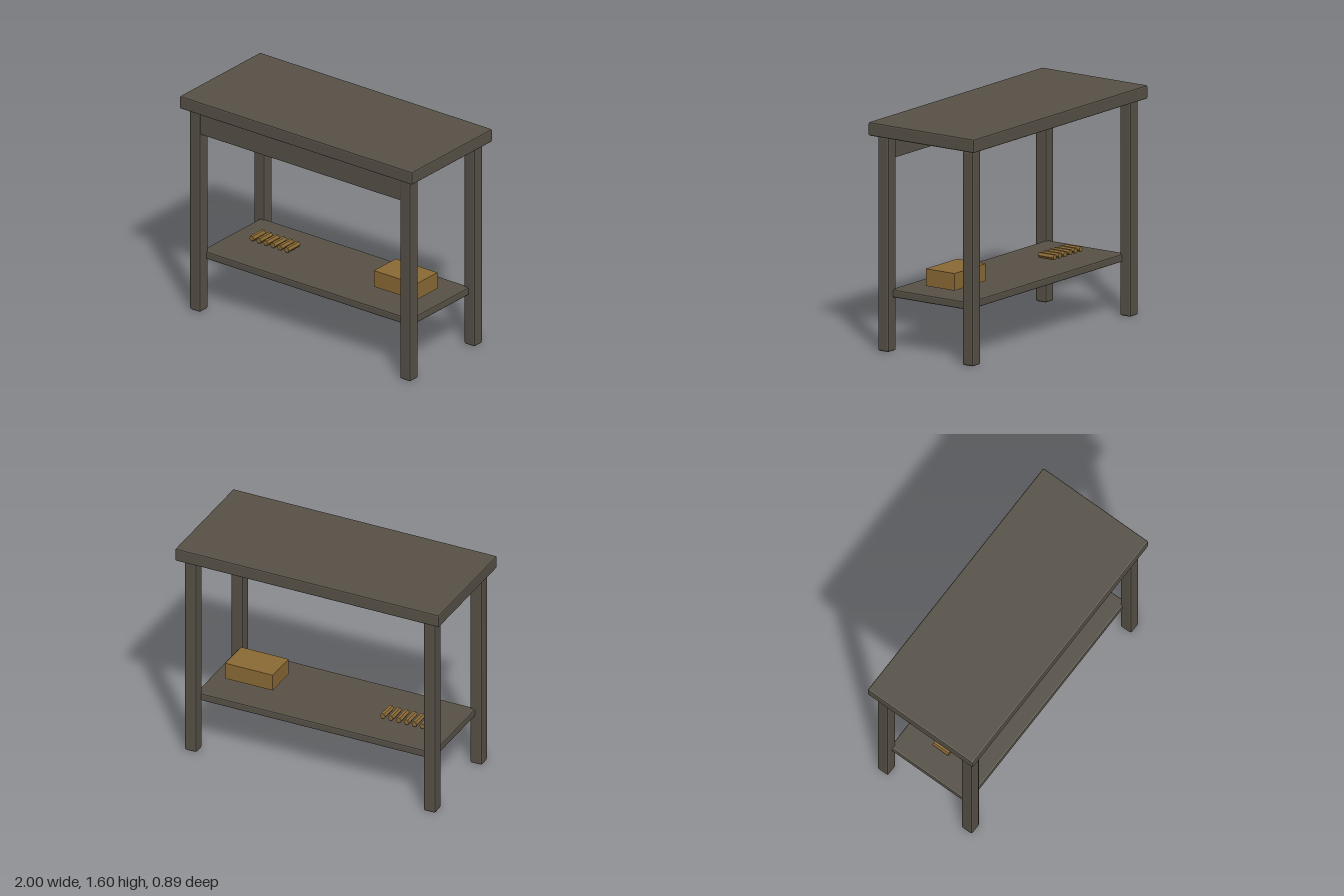
import * as THREE from 'three';
import { RoundedBoxGeometry } from 'three/addons/geometries/RoundedBoxGeometry.js';

export function createModel() {
  const group = new THREE.Group();
  group.name = 'workTable';

  const darkWood = new THREE.MeshStandardMaterial({ color: 0x575147 });
  darkWood.name = 'darkWood';
  const tanWood = new THREE.MeshStandardMaterial({ color: 0x8b6a35 });
  tanWood.name = 'tanWood';

  function add(name, geometry, material, x, y, z) {
    const mesh = new THREE.Mesh(geometry, material);
    mesh.name = name;
    mesh.position.set(x, y, z);
    group.add(mesh);
    return mesh;
  }

  // Box with a narrow faceted edge
  function bevelled(w, h, d, bevel = 0.01) {
    const geometry = new RoundedBoxGeometry(w, h, d, 1, bevel);
    geometry.computeVertexNormals();
    return geometry;
  }

  // Table top
  add('tableTop', bevelled(2, 0.095, 0.89), darkWood, 0, 1.5525, 0);

  // Four legs
  const legGeometry = bevelled(0.09, 1.5, 0.09, 0.012);
  for (const [side, x] of [['left', 0.905], ['right', -0.905]]) {
    add(side + 'FrontLeg', legGeometry, darkWood, x, 0.75, 0.355);
    add(side + 'BackLeg', legGeometry, darkWood, x, 0.75, -0.355);
  }

  // Apron between the front legs
  add('frontApron', bevelled(1.8, 0.15, 0.04, 0.005), darkWood, 0, 1.405, 0.37);

  // Lower shelf, let into the legs
  add('shelf', bevelled(1.8, 0.055, 0.66), darkWood, 0, 0.4025, 0);

  // Storage box
  add('storageBox', new THREE.BoxGeometry(0.36, 0.12, 0.24), tanWood, 0.6, 0.52, 0);

  // Row of six short hexagonal rods
  const rodGeometry = new THREE.CylinderGeometry(0.021, 0.021, 0.13, 6)
    .rotateY(Math.PI / 6).rotateX(Math.PI / 2).toNonIndexed();
  rodGeometry.computeVertexNormals();
  for (let i = 0; i < 6; i++) {
    add('rod' + (i + 1), rodGeometry, tanWood, -0.703 + i * 0.06, 0.464, -0.035);
  }

  return group;
}
